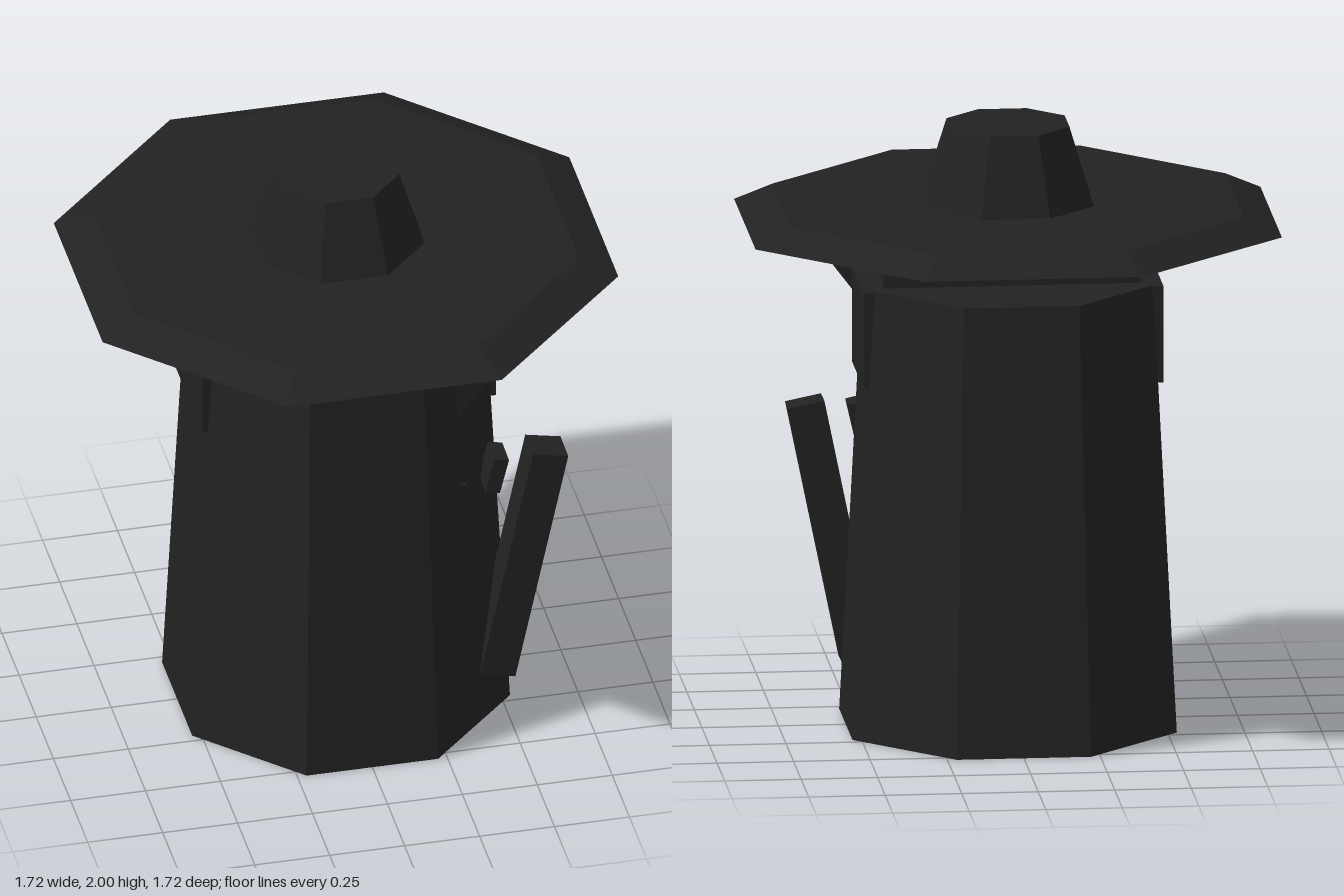
import * as THREE from 'three';

const mat = (name, color) => {
  const m = new THREE.MeshStandardMaterial({ color });
  m.name = name;
  return m;
};

export function createModel() {
  const model = new THREE.Group();
  model.name = 'hattedFigure';
  const cloth = mat('charcoal cloth', 0x222222);
  const pale = mat('pale mask', 0xbdbdb3);
  const black = mat('black detail', 0x111111);

  const add = (name, geometry, material, x = 0, y = 0, z = 0) => {
    const mesh = new THREE.Mesh(geometry, material);
    mesh.name = name;
    mesh.position.set(x, y, z);
    model.add(mesh);
    return mesh;
  };

  // Tapered octagon with a flat side facing front; sizes are centre-to-side
  const octagon = (name, topSize, bottomSize, y0, y1) => {
    const k = 1 / Math.cos(Math.PI / 8);
    const g = new THREE.CylinderGeometry(topSize * k, bottomSize * k, y1 - y0, 8)
      .rotateY(Math.PI / 8).toNonIndexed();
    g.computeVertexNormals();
    return add(name, g, cloth, 0, (y0 + y1) / 2, 0);
  };

  // Square bar running between two points
  const bar = (name, from, to, width, depth) => {
    const a = new THREE.Vector3(...from), b = new THREE.Vector3(...to);
    const dir = b.clone().sub(a);
    const mesh = add(name, new THREE.BoxGeometry(width, dir.length(), depth), cloth);
    mesh.position.copy(a).add(b).multiplyScalar(0.5);
    mesh.quaternion.setFromUnitVectors(new THREE.Vector3(0, 1, 0), dir.normalize());
    return mesh;
  };

  // Robe and hat
  octagon('robe', 0.455, 0.53, 0, 1.49);
  octagon('hatBrim', 0.74, 0.86, 1.68, 1.74);
  octagon('hatCrown', 0.193, 0.27, 1.74, 2);

  // Shoulders
  add('collar', new THREE.BoxGeometry(0.84, 0.075, 0.305), cloth, 0, 1.5175, 0.002);
  for (const side of [-1, 1]) {
    add('shoulderPad', new THREE.BoxGeometry(0.06, 0.32, 0.385), cloth, side * 0.46, 1.325, 0.002);
  }

  // Mask with a slit and breathing holes
  add('mask', new THREE.BoxGeometry(0.19, 0.2, 0.065), pale, 0, 1.58, 0.1675);
  add('maskSlit', new THREE.BoxGeometry(0.02, 0.14, 0.009), black, 0, 1.61, 0.2035);
  for (const x of [-0.02, 0, 0.02]) {
    for (const y of [1.522, 1.546]) {
      add('breathingHole', new THREE.BoxGeometry(0.011, 0.011, 0.006), black, x, y, 0.202);
    }
  }

  // Handle over the shoulder and the long bar at the side
  bar('shoulderHandle', [0.29, 1.225, 0.308], [0.558, 1.577, 0.308], 0.108, 0.055);
  bar('sideBar', [0.4625, 0.165, 0.28], [0.635, 1.013, 0.297], 0.12, 0.115);

  // Small bracket and stud joining the bar to the robe
  bar('bracket', [0.445, 0.887, 0.29], [0.474, 1.014, 0.295], 0.05, 0.1);
  const stud = add('stud', new THREE.ConeGeometry(0.03, 0.05, 4), cloth, 0.342, 0.93, 0.342);
  stud.quaternion.setFromUnitVectors(new THREE.Vector3(0, 1, 0), new THREE.Vector3(1, 0, 1).normalize());

  return model;
}
